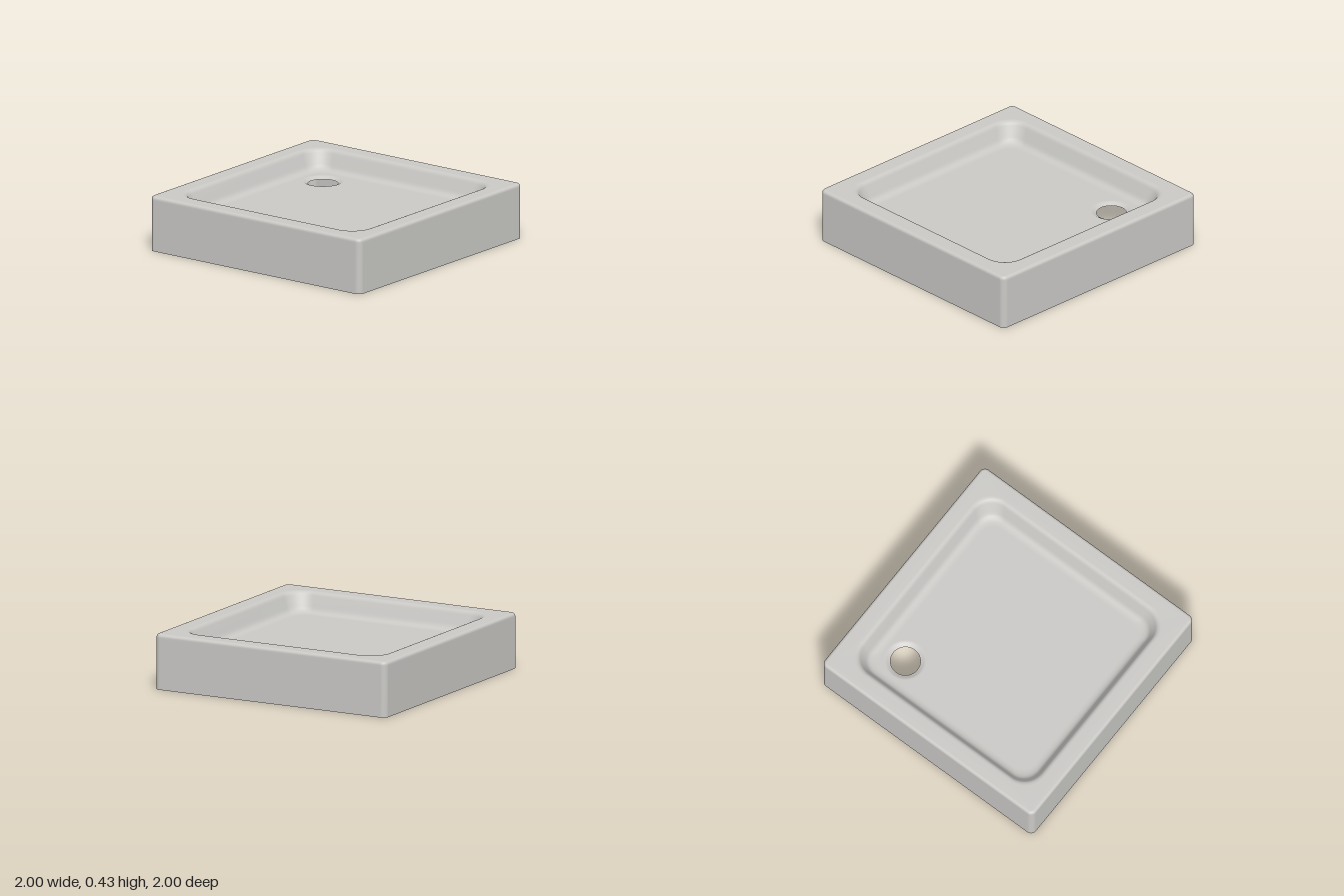
import * as THREE from 'three';

const CORNER_STEPS = 10;
const FLOOR_Y = 0.275;
const DRAIN = { x: 0.55, z: -0.55, outer: 0.16, inner: 0.113 };

// Points of a rounded square, running from +x towards +z
function roundedSquare(half, radius) {
  const points = [];
  const c = half - radius;
  [[1, 1], [-1, 1], [-1, -1], [1, -1]].forEach(([sx, sz], k) => {
    for (let i = 0; i <= CORNER_STEPS; i++) {
      const a = (k + i / CORNER_STEPS) * Math.PI / 2;
      points.push([sx * c + radius * Math.cos(a), sz * c + radius * Math.sin(a)]);
    }
  });
  return points;
}

// Skin a list of [half width, height, corner radius] sections
function loft(sections) {
  const positions = [], index = [];
  const n = 4 * (CORNER_STEPS + 1);
  sections.forEach(([half, y, radius], j) => {
    roundedSquare(half, radius).forEach(([x, z]) => positions.push(x, y, z));
    if (j === 0) return;
    for (let i = 0; i < n; i++) {
      const a = (j - 1) * n + i, b = (j - 1) * n + (i + 1) % n;
      index.push(a, a + n, b, b, a + n, b + n);
    }
  });
  const geometry = new THREE.BufferGeometry();
  geometry.setAttribute('position', new THREE.Float32BufferAttribute(positions, 3));
  geometry.setIndex(index);
  geometry.computeVertexNormals();
  return geometry;
}

export function createModel() {
  const group = new THREE.Group();
  group.name = 'showerTray';
  const enamel = new THREE.MeshStandardMaterial({ color: 0xcac9c6, side: THREE.DoubleSide });
  enamel.name = 'light grey enamel';
  const add = (name, geometry) => {
    const mesh = new THREE.Mesh(geometry, enamel);
    mesh.name = name;
    group.add(mesh);
    return mesh;
  };

  // Outer skirt, rounded lip, flat rim and sloping basin wall as one thin skin
  const sections = [[1, 0, 0.045], [1, 0.39, 0.045]];
  for (let i = 0; i <= 6; i++) {
    const a = (i / 6) * Math.PI / 2;
    const inset = 0.025 * (1 - Math.cos(a));
    sections.push([1 - inset, 0.403 + 0.025 * Math.sin(a), 0.045 - inset]);
  }
  sections.push(
    [0.88, 0.428, 0.18], [0.867, 0.427, 0.175], [0.855, 0.422, 0.17], [0.845, 0.412, 0.165],
    [0.837, 0.398, 0.16], [0.805, 0.325, 0.145], [0.796, 0.306, 0.14], [0.785, 0.292, 0.135],
    [0.77, 0.282, 0.13], [0.752, 0.277, 0.125], [0.735, FLOOR_Y, 0.12], [0.725, FLOOR_Y, 0.12]
  );
  add('rimAndWalls', loft(sections));

  // Basin floor with the drain opening
  const floor = new THREE.Shape(
    roundedSquare(0.725, 0.12).map(([x, y]) => new THREE.Vector2(x, y))
  );
  const opening = new THREE.Path();
  opening.absarc(DRAIN.x, -DRAIN.z, DRAIN.outer, 0, Math.PI * 2, true);
  floor.holes.push(opening);
  const floorGeometry = new THREE.ShapeGeometry(floor, 24);
  floorGeometry.rotateX(-Math.PI / 2);
  add('basinFloor', floorGeometry).position.y = FLOOR_Y;

  // Shallow recess leading into the drain hole
  const recess = [
    [DRAIN.outer, FLOOR_Y], [0.15, 0.2745], [0.141, 0.271], [0.127, 0.262], [DRAIN.inner, 0.255]
  ].map(([r, y]) => new THREE.Vector2(r, y));
  add('drainRecess', new THREE.LatheGeometry(recess, 48)).position.set(DRAIN.x, 0, DRAIN.z);

  return group;
}
